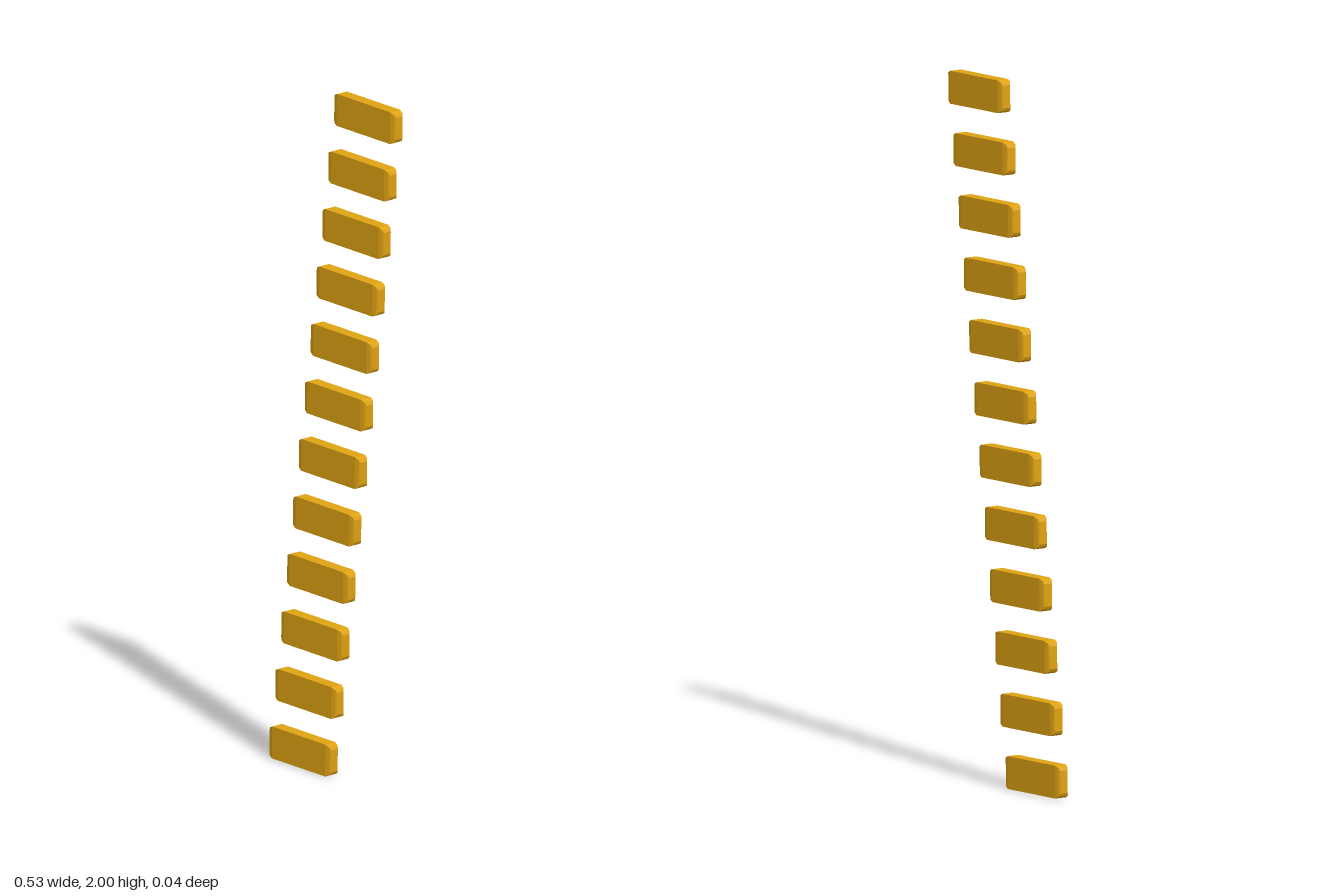
import * as THREE from 'three';

const COUNT = 12;
const STEP_X = 0.0247;
const STEP_Y = 0.173;

// Half of a bar's stations along x: [x, half height, half depth], end to middle
const END = [
  [0.129, 0.032, 0.0125],
  [0.125, 0.040, 0.0155],
  [0.112, 0.0465, 0.0188],
];

// A box whose ends taper in height and depth
function barGeometry() {
  const stations = [
    ...END.map(([x, h, d]) => [-x, h, d]),
    ...END.slice().reverse(),
  ];
  const n = stations.length - 1;
  const geometry = new THREE.BoxGeometry(1, 1, 1, n, 1, 1);
  const p = geometry.attributes.position;
  for (let i = 0; i < p.count; i++) {
    const [x, h, d] = stations[Math.round((p.getX(i) + 0.5) * n)];
    p.setXYZ(i, x, Math.sign(p.getY(i)) * h, Math.sign(p.getZ(i)) * d);
  }
  geometry.computeVertexNormals();
  return geometry;
}

export function createModel() {
  const group = new THREE.Group();
  group.name = 'leaningBarStack';
  const material = new THREE.MeshStandardMaterial({ color: 0xdfa213, flatShading: true });
  const geometry = barGeometry();

  // Evenly spaced bars climbing toward +x, each tilted slightly
  for (let i = 0; i < COUNT; i++) {
    const bar = new THREE.Mesh(geometry, material);
    bar.name = `bar${i + 1}`;
    const k = i - (COUNT - 1) / 2;
    bar.position.set(k * STEP_X, 1 + k * STEP_Y, 0);
    bar.rotation.z = -0.015;
    group.add(bar);
  }
  return group;
}
